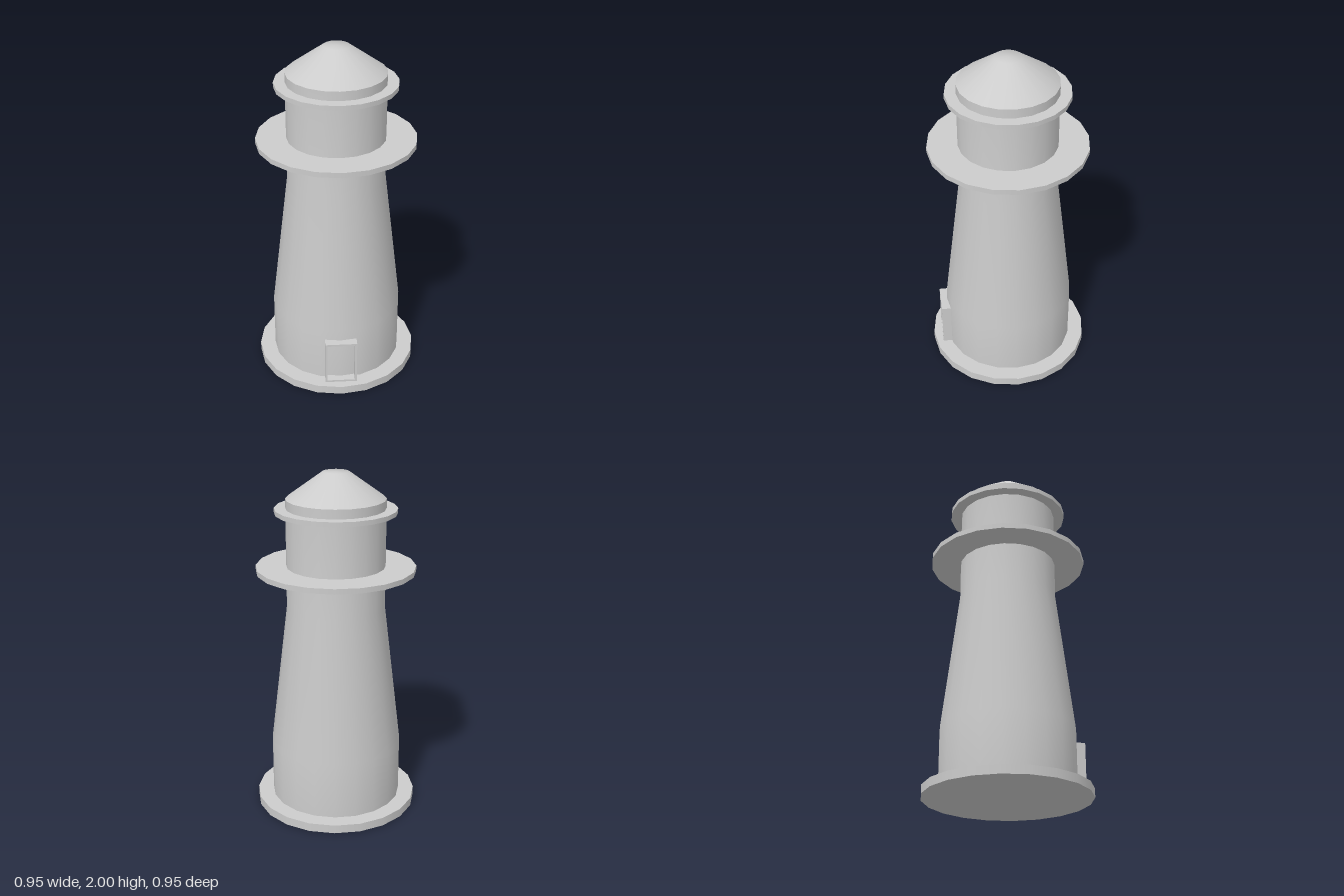
import * as THREE from 'three';

const SIDES = 20;

export function createModel() {
  const group = new THREE.Group();
  const material = new THREE.MeshStandardMaterial({ color: 0xcccccc });

  const add = (name, geometry) => {
    const mesh = new THREE.Mesh(geometry, material);
    mesh.name = name;
    group.add(mesh);
    return mesh;
  };
  const disc = (name, radius, bottom, top) => {
    add(name, new THREE.CylinderGeometry(radius, radius, top - bottom, SIDES))
      .position.y = (bottom + top) / 2;
  };
  // Profile runs from bottom to top
  const turned = (name, profile) =>
    add(name, new THREE.LatheGeometry(profile.map(([r, y]) => new THREE.Vector2(r, y)), SIDES));

  // Round slabs: foundation, walkway and the ledge under the roof
  disc('foundation', 0.475, 0, 0.05);
  disc('gallery', 0.457, 1.435, 1.465);
  disc('roofLedge', 0.347, 1.77, 1.797);

  // Tower wall: straight foot, tapered shaft, straight lantern room
  turned('tower', [[0.383, 0.04], [0.383, 0.39], [0.283, 1.22], [0.283, 1.85]]);

  // Blunt cone roof
  turned('roof', [[0.283, 1.85], [0.075, 2], [0, 2]]);

  // Door surround, standing out from the wall
  const rectangle = (PathType, halfWidth, bottom, top) => new PathType([
    new THREE.Vector2(-halfWidth, bottom), new THREE.Vector2(halfWidth, bottom),
    new THREE.Vector2(halfWidth, top), new THREE.Vector2(-halfWidth, top),
  ]);
  const frame = rectangle(THREE.Shape, 0.093, 0.05, 0.323);
  frame.holes.push(rectangle(THREE.Path, 0.081, 0.062, 0.311));
  add('doorFrame', new THREE.ExtrudeGeometry(frame, { depth: 0.055, bevelEnabled: false }))
    .position.z = 0.368;

  return group;
}
